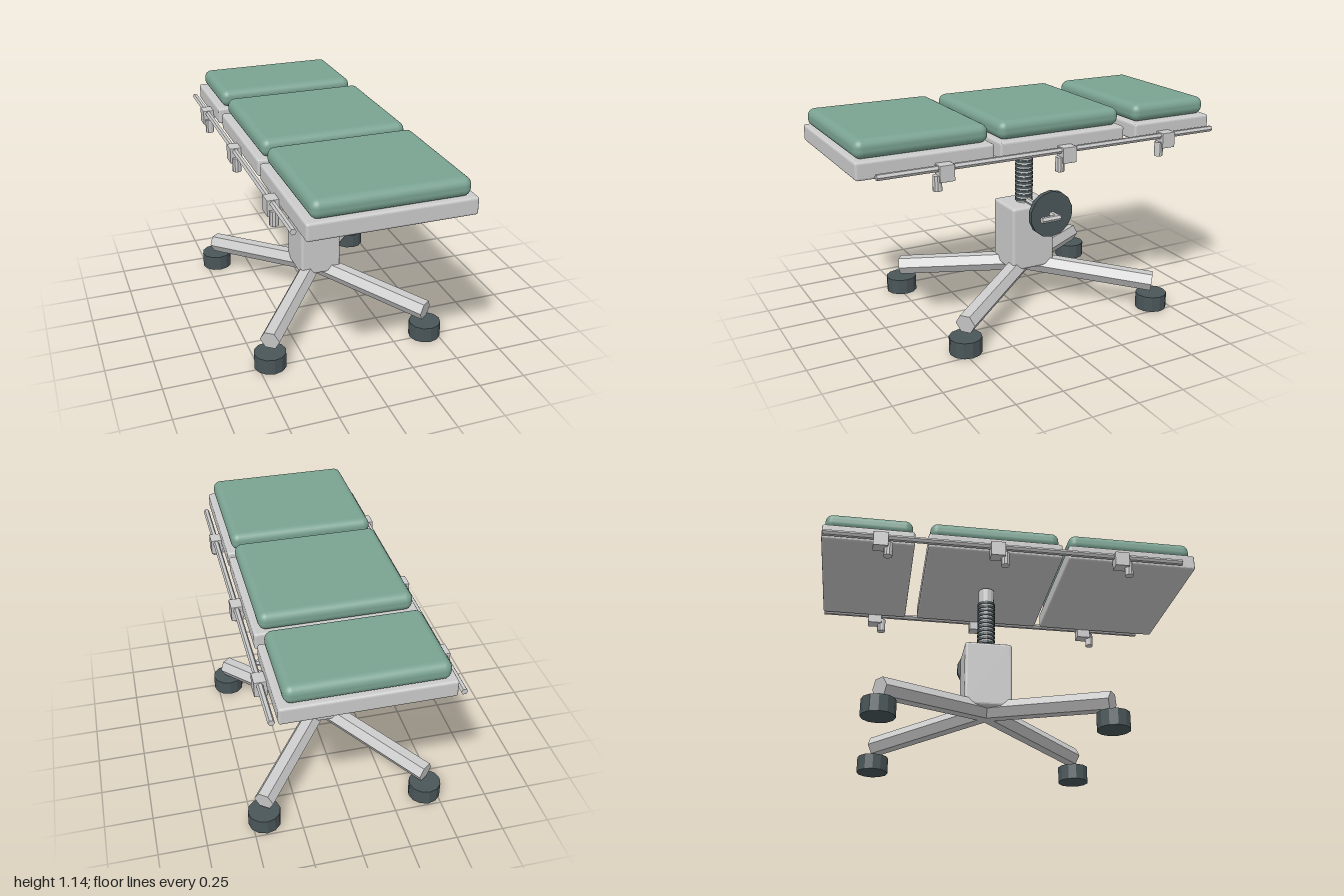
import * as THREE from 'three';
import { RoundedBoxGeometry } from 'three/addons/geometries/RoundedBoxGeometry.js';

const CZ = -0.087; // z of the lifting column

export function createModel() {
  const model = new THREE.Group();
  model.name = 'treatmentTable';
  const grey = new THREE.MeshStandardMaterial({ color: 0xcccccc, flatShading: true });
  const dark = new THREE.MeshStandardMaterial({ color: 0x4a5659, flatShading: true });
  const green = new THREE.MeshStandardMaterial({ color: 0x7aa392 });

  function add(name, geometry, material, x, y, z) {
    const mesh = new THREE.Mesh(geometry, material);
    mesh.name = name;
    mesh.position.set(x, y, z);
    model.add(mesh);
    return mesh;
  }

  // Straight bar between two points; roll turns its facets
  function bar(name, a, b, radius, sides, material, roll = 0) {
    const from = new THREE.Vector3(...a), to = new THREE.Vector3(...b);
    const dir = to.clone().sub(from);
    const geometry = new THREE.CylinderGeometry(radius, radius, dir.length(), sides);
    geometry.rotateY(roll);
    geometry.rotateX(Math.PI / 2);
    const mid = from.add(to).multiplyScalar(0.5);
    const mesh = add(name, geometry, material, mid.x, mid.y, mid.z);
    mesh.lookAt(to);
    return mesh;
  }

  // Three upholstered sections: [front z, back z]
  for (const [name, z1, z0] of [['foot', 1, 0.3], ['middle', 0.267, -0.45], ['head', -0.52, -1]]) {
    const z = (z0 + z1) / 2, depth = z1 - z0;
    add(name + 'Frame', new RoundedBoxGeometry(0.82, 0.088, depth, 2, 0.012), grey, 0, 1.009, z);
    add(name + 'Cushion', new RoundedBoxGeometry(0.764, 0.094, depth - 0.022, 4, 0.04), green, 0, 1.098, z);
  }

  // Side rails with clamps and clamp knobs
  for (const s of [-1, 1]) {
    bar('sideRail', [s * 0.44, 0.982, -0.995], [s * 0.44, 0.982, 0.915], 0.016, 6, grey, Math.PI / 6);
    for (const z of [-0.697, -0.09, 0.575]) {
      add('railClamp', new RoundedBoxGeometry(0.064, 0.082, 0.078, 1, 0.003), grey, s * 0.436, 0.959, z);
      add('clampKnob', new THREE.CylinderGeometry(0.023, 0.023, 0.075, 10), grey, s * 0.436, 0.912, z + 0.04);
    }
  }

  // Lifting column with screw rings
  add('columnHousing', new RoundedBoxGeometry(0.228, 0.36, 0.254, 2, 0.014), grey, 0, 0.403, CZ);
  add('screwColumn', new THREE.CylinderGeometry(0.044, 0.044, 0.402, 12), grey, 0, 0.752, CZ);
  for (let i = 0; i < 12; i++) {
    add('screwRing', new THREE.CylinderGeometry(0.049, 0.049, 0.014, 16), dark, 0, 0.598 + i * 0.0243, CZ);
  }

  // Hand wheel on a cranked shaft
  bar('crankShaft', [0, 0.597, CZ], [0.372, 0.597, CZ], 0.016, 6, grey, Math.PI / 6);
  bar('handWheel', [0.277, 0.597, CZ], [0.304, 0.597, CZ], 0.126, 14, dark);
  bar('crankHandle', [0.364, 0.597, -0.1], [0.364, 0.597, 0.008], 0.017, 6, grey, Math.PI / 6);

  // Four sloping hexagonal legs and their feet
  for (const sx of [-1, 1]) {
    for (const sz of [-1, 1]) {
      const x = sx * 0.436, z = CZ + sz * 0.571;
      bar('leg', [0, 0.23, CZ], [x, 0.15, z], 0.054, 6, grey, Math.PI / 6);
      add('foot', new THREE.CylinderGeometry(0.085, 0.085, 0.085, 12), dark, x, 0.0425, z);
    }
  }
  return model;
}
